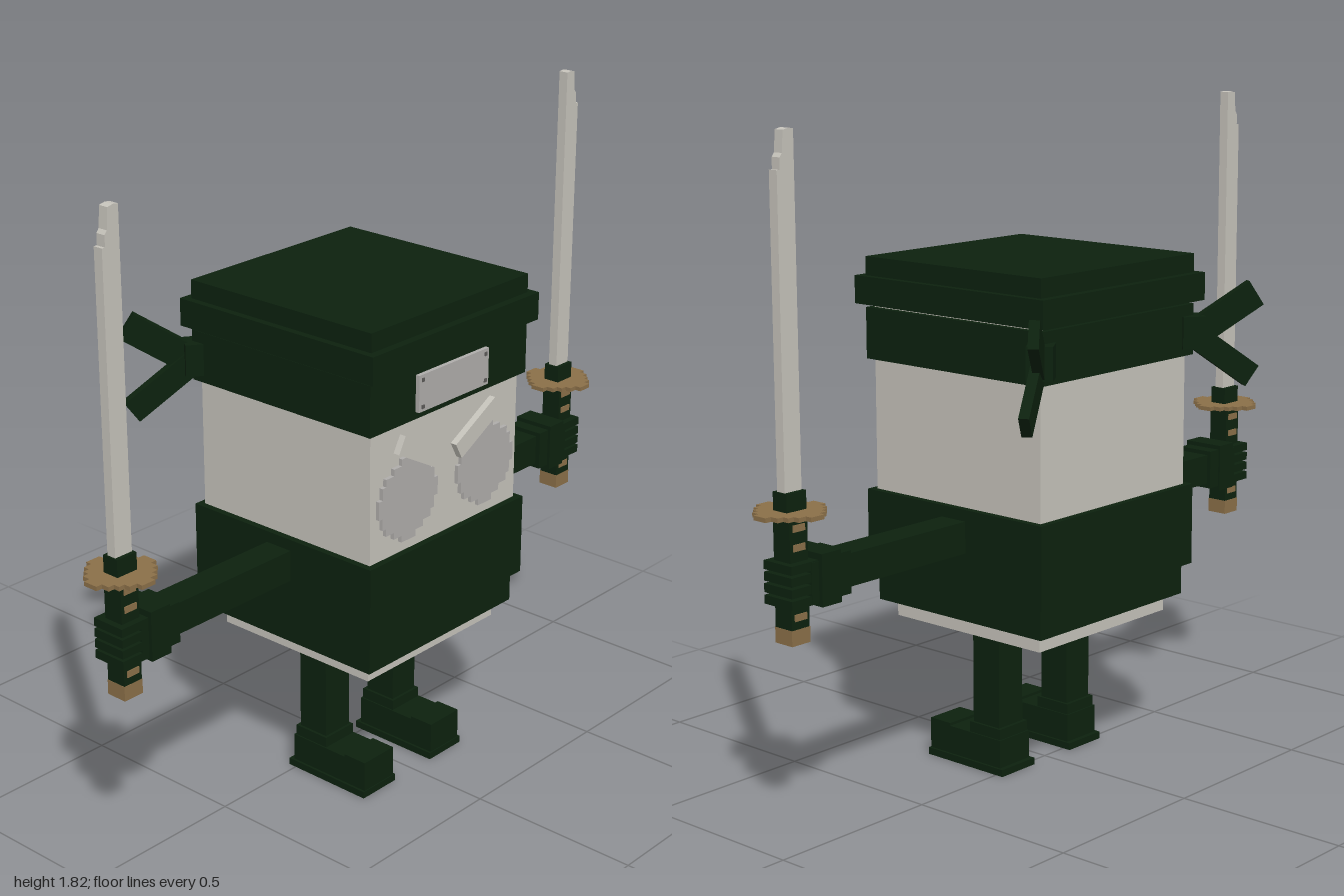
import * as THREE from 'three';

const mat = (name, color) => {
  const m = new THREE.MeshStandardMaterial({ color });
  m.name = name;
  return m;
};

export function createModel() {
  const green = mat('dark green cloth', 0x0c210e);
  const pale = mat('pale skin and steel', 0xc5c2ba);
  const metal = mat('grey metal', 0xaeacaa);
  const rivetGrey = mat('rivet grey', 0x5c5a58);
  const brown = mat('brown brass', 0x8a6f48);
  const model = new THREE.Group();

  // Box from its ranges on x, y and z
  function box(parent, name, material, x, y, z) {
    const mesh = new THREE.Mesh(
      new THREE.BoxGeometry(Math.abs(x[1] - x[0]), y[1] - y[0], Math.abs(z[1] - z[0])), material);
    mesh.position.set((x[0] + x[1]) / 2, (y[0] + y[1]) / 2, (z[0] + z[1]) / 2);
    mesh.name = name;
    parent.add(mesh);
    return mesh;
  }

  // Disc with a stepped, pixel-like rim
  function steppedDisc(radius, depth, steps) {
    const quarter = [];
    steps.forEach(([a, b], i) => {
      quarter.push([a, b]);
      if (i < steps.length - 1) quarter.push([steps[i + 1][0], b]);
    });
    const back = [...quarter].reverse();
    const points = [
      ...quarter,
      ...back.map(([a, b]) => [-a, b]),
      ...quarter.map(([a, b]) => [-a, -b]),
      ...back.map(([a, b]) => [a, -b]),
    ].map(([a, b]) => new THREE.Vector2(a * radius, b * radius));
    return new THREE.ExtrudeGeometry(new THREE.Shape(points), { depth, bevelEnabled: false })
      .translate(0, 0, -depth / 2);
  }

  // Square trunk: head, cap, band and belt, stacked about z = 0.055
  const trunk = new THREE.Group();
  trunk.name = 'trunk';
  trunk.position.x = -0.004;
  model.add(trunk);
  const layer = (name, material, half, y, zHalf = half) =>
    box(trunk, name, material, [-half, half], y, [0.055 - zHalf, 0.055 + zHalf]);
  layer('bodyBase', pale, 0.264, [0.412, 0.47]);
  layer('beltLower', green, 0.3, [0.46, 0.55]);
  layer('belt', green, 0.32, [0.548, 0.778]);
  layer('head', pale, 0.301, [0.75, 1.32]);
  layer('headband', green, 0.319, [1.145, 1.287], 0.316);
  layer('capBrim', green, 0.337, [1.297, 1.374], 0.34);
  layer('capTop', green, 0.317, [1.37, 1.426]);

  // Metal forehead plate with rivets
  box(trunk, 'foreheadPlate', metal, [-0.142, 0.142], [1.165, 1.267], [0.37, 0.383]);
  for (const x of [-0.128, 0.128]) for (const y of [1.179, 1.253])
    box(trunk, 'plateRivet', rivetGrey, [x - 0.005, x + 0.005], [y - 0.005, y + 0.005], [0.381, 0.386]);

  const eyeSteps = [[1, 0.22], [0.88, 0.5], [0.76, 0.68], [0.5, 0.84], [0.24, 1]];
  const guardSteps = [[1, 0.22], [0.82, 0.46], [0.64, 0.64], [0.46, 0.82], [0.22, 1]];

  // Flat strip of cloth between two points, with its width in the hanging plane
  function ribbon(name, from, to, width) {
    const a = new THREE.Vector3(...from), b = new THREE.Vector3(...to);
    const mesh = new THREE.Mesh(new THREE.BoxGeometry(width, a.distanceTo(b), 0.028), green);
    const along = b.clone().sub(a).normalize();
    const flat = new THREE.Vector3(along.x, 0, along.z).cross(new THREE.Vector3(0, 1, 0)).normalize();
    const across = new THREE.Vector3().crossVectors(along, flat);
    mesh.quaternion.setFromRotationMatrix(new THREE.Matrix4().makeBasis(across, along, flat));
    mesh.position.copy(a).add(b).multiplyScalar(0.5);
    mesh.name = name;
    trunk.add(mesh);
  }

  for (const s of [1, -1]) {
    const side = s > 0 ? 'left' : 'right';
    const sx = (a, b) => [s * a, s * b];

    // Eyes and angry brows
    const eye = new THREE.Mesh(steppedDisc(0.118, 0.012, eyeSteps), metal);
    eye.position.set(s * 0.16, 0.928, 0.361);
    eye.name = side + 'Eye';
    trunk.add(eye);
    const brow = new THREE.Mesh(new THREE.BoxGeometry(0.185, 0.052, 0.02), pale);
    brow.position.set(s * 0.116, 1.045, 0.365);
    brow.rotation.z = s * 0.5;
    brow.name = side + 'Brow';
    trunk.add(brow);

    // Headband knot and its two loose ends
    const knot = box(trunk, side + 'Knot', green, sx(0.28, 0.345), [1.165, 1.255], [-0.292, -0.222]);
    knot.rotation.y = s * 0.6;
    ribbon(side + 'UpperRibbon', [s * 0.32, 1.2, -0.26], [s * 0.462, 1.312, -0.365], 0.078);
    ribbon(side + 'LowerRibbon', [s * 0.315, 1.205, -0.255], [s * 0.472, 1.075, -0.345], 0.068);

    // Leg and boot
    const leg = new THREE.Group();
    leg.name = side + 'Leg';
    leg.position.x = s * 0.143;
    trunk.add(leg);
    box(leg, 'shin', green, [-0.048, 0.048], [0.1, 0.43], [0.004, 0.1]);
    box(leg, 'bootAnkle', green, [-0.056, 0.056], [0.09, 0.13], [-0.006, 0.108]);
    box(leg, 'bootFoot', green, [-0.06, 0.06], [0.018, 0.1], [-0.01, 0.255]);
    box(leg, 'bootToe', green, [-0.06, 0.06], [0.095, 0.108], [0.18, 0.255]);
    box(leg, 'bootSole', green, [-0.067, 0.067], [0, 0.02], [-0.024, 0.258]);

    // Arm, cuffs and gripping fingers
    const arm = new THREE.Group();
    arm.name = side + 'Arm';
    model.add(arm);
    box(arm, 'sleeve', green, sx(0.29, 0.77), [0.658, 0.746], [0.006, 0.092]);
    box(arm, 'cuff', green, sx(0.75, 0.8), [0.645, 0.758], [-0.006, 0.106]);
    box(arm, 'glove', green, sx(0.79, 0.856), [0.632, 0.77], [-0.012, 0.114]);
    box(arm, 'palm', green, sx(0.85, 0.88), [0.645, 0.75], [0, 0.104]);
    for (let i = 0; i < 4; i++) {
      const y = 0.64 + i * 0.03;
      box(arm, 'finger', green, sx(0.855, 0.946), [y, y + 0.023], [0.002, 0.104]);
    }

    // Sword: grip, inlays, pommel, guard, collar and blade
    const sword = new THREE.Group();
    sword.name = side + 'Sword';
    sword.position.set(s * 0.898, 0, 0.055);
    model.add(sword);
    box(sword, 'grip', green, [-0.03, 0.03], [0.578, 0.88], [-0.03, 0.03]);
    box(sword, 'pommel', brown, [-0.031, 0.031], [0.538, 0.579], [-0.031, 0.031]);
    for (const y of [0.61, 0.79, 0.84]) for (const f of [-1, 1])
      box(sword, 'gripInlay', brown, [-0.02, 0.02], [y - 0.009, y + 0.009], [f * 0.028, f * 0.033]);
    const guard = new THREE.Mesh(steppedDisc(0.101, 0.012, guardSteps).rotateX(Math.PI / 2), brown);
    guard.position.y = 0.876;
    guard.name = 'guard';
    sword.add(guard);
    box(sword, 'bladeCollar', green, [-0.033, 0.033], [0.88, 0.93], [-0.025, 0.025]);
    const outline = [[-0.028, 0.92], [0.028, 0.92], [0.028, 1.725], [0.018, 1.725], [0.018, 1.755],
      [0.01, 1.765], [0.006, 1.82], [-0.012, 1.824], [-0.028, 1.8]];
    // The point leans towards the body
    outline[8] = [-0.028, 1.822];
    const blade = new THREE.Mesh(
      new THREE.ExtrudeGeometry(new THREE.Shape(outline.map(([x, y]) => new THREE.Vector2(s * x, y))),
        { depth: 0.028, bevelEnabled: false }).translate(0, 0, -0.014), pale);
    blade.name = 'blade';
    sword.add(blade);
  }
  return model;
}
